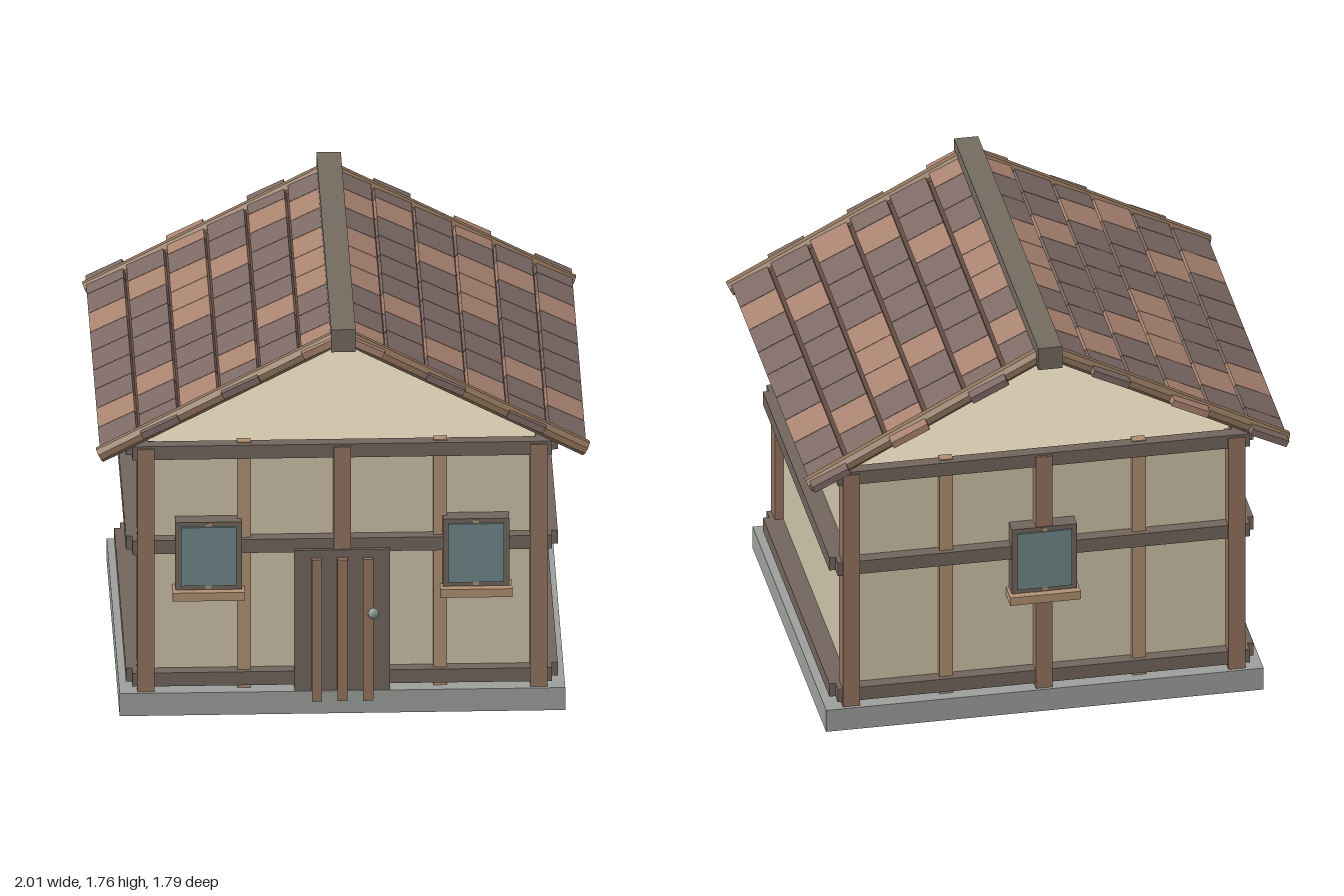
import * as THREE from 'three';

const mat = (color) => new THREE.MeshStandardMaterial({ color, flatShading: true });
const M = {
  stone: mat(0x9c9f9b), plaster: mat(0xcdc2a8), post: mat(0x94745f), stud: mat(0xb09172),
  beam: mat(0x72655d), ridge: mat(0x746a60), rafter: mat(0x8f735b), board: mat(0x60483f),
  tileDark: mat(0x7d6a64), tileLight: mat(0xa98370), glass: mat(0x6f8788),
  metal: new THREE.MeshStandardMaterial({ color: 0x8d9694 }),
};

// Box given by its min/max extents on each axis
function box(parent, name, material, [x0, x1], [y0, y1], [z0, z1]) {
  const mesh = new THREE.Mesh(new THREE.BoxGeometry(x1 - x0, y1 - y0, z1 - z0), material);
  mesh.position.set((x0 + x1) / 2, (y0 + y1) / 2, (z0 + z1) / 2);
  mesh.name = name;
  parent.add(mesh);
  return mesh;
}

// Window with frame, mullion, pane and sill, built facing +z
function windowUnit(x) {
  const g = new THREE.Group();
  g.name = 'window';
  box(g, 'windowFrame', M.beam, [-0.135, 0.135], [0.555, 0.855], [0.69, 0.766]);
  box(g, 'windowMullion', M.stud, [-0.012, 0.012], [0.56, 0.85], [0.69, 0.769]);
  box(g, 'windowPane', M.glass, [-0.113, 0.113], [0.575, 0.835], [0.69, 0.774]);
  box(g, 'windowSill', M.stud, [-0.147, 0.147], [0.515, 0.552], [0.69, 0.792]);
  g.position.x = x;
  return g;
}

// Timber framing shared by the front and back walls, built facing +z
function gableWall(name, postBottom) {
  const g = new THREE.Group();
  g.name = name;
  for (const s of [-1, 1]) {
    box(g, 'cornerPost', M.post, [s * 0.8 - 0.035, s * 0.8 + 0.035], [0.1, 1.18], [0.675, 0.76]);
    box(g, 'stud', M.stud, [s * 0.4 - 0.028, s * 0.4 + 0.028], [0.1, 1.195], [0.69, 0.73]);
  }
  for (const y of [0.15, 0.74, 1.16])
    box(g, 'crossBeam', M.beam, [-0.855, 0.855], [y - 0.03, y + 0.03], [0.7, 0.752]);
  box(g, 'centerPost', M.post, [-0.035, 0.035], [postBottom, 1.18], [0.69, 0.762]);
  return g;
}

// One roof slope: local x runs down the slope from the ridge, local y is its normal
function roofSlope() {
  const pitch = Math.atan(0.525), length = 1.12;
  const g = new THREE.Group();
  g.name = 'roofSlope';
  box(g, 'roofBoard', M.board, [0, length - 0.01], [-0.024, -0.004], [-0.83, 0.84]);

  // Rafters along the gable edges
  for (const z of [0.836, -0.82]) {
    const rafter = new THREE.Mesh(new THREE.CylinderGeometry(0.033, 0.033, length - 0.03, 8), M.rafter);
    rafter.rotation.set(0, Math.PI / 8, Math.PI / 2, 'ZYX');
    rafter.position.set((length + 0.03) / 2, 0, z);
    rafter.name = 'gableRafter';
    g.add(rafter);
  }

  // Staggered tile rows from eave to ridge; each list holds the lighter tiles
  const light = [[2, 7], [1, 6], [0, 2, 3, 4, 8], [2, 7], [1, 6], [1, 3, 4, 5, 8]];
  const step = 0.19;
  light.forEach((row, r) => {
    const centre = 1.024 - r * 0.1855;
    const start = r % 2 ? -0.823 : -0.893;
    for (let i = 0; i < 9; i++) {
      const z = start + i * step;
      const tile = box(g, 'roofTile', row.includes(i) ? M.tileLight : M.tileDark,
        [centre - 0.083, centre + 0.083], [-0.008, 0.021], [z, z + step - 0.003]);
      tile.rotation.z = 0.03;
    }
  });
  g.rotation.z = -pitch;
  g.position.y = 1.713;
  return g;
}

export function createModel() {
  const model = new THREE.Group();
  model.name = 'cottage';

  const house = new THREE.Group();
  house.name = 'house';
  house.position.z = 0.005;
  model.add(house);
  box(house, 'foundation', M.stone, [-0.908, 0.908], [0, 0.1], [-0.775, 0.775]);
  box(house, 'walls', M.plaster, [-0.8, 0.8], [0.1, 1.165], [-0.7, 0.7]);

  // Front and back framing, with windows
  const front = gableWall('frontWall', 0.72);
  front.add(windowUnit(-0.545), windowUnit(0.545));
  const back = gableWall('backWall', 0.1);
  back.add(windowUnit(0));
  back.rotation.y = Math.PI;
  house.add(front, back);

  // Side beams
  for (const s of [-1, 1])
    for (const y of [0.15, 0.74, 1.16])
      box(house, 'sideBeam', M.beam, s > 0 ? [0.79, 0.88] : [-0.88, -0.79], [y - 0.03, y + 0.03], [-0.7, 0.7]);

  // Door with planks and knob
  const door = new THREE.Group();
  door.name = 'door';
  box(door, 'doorPanel', M.beam, [-0.195, 0.195], [0.1, 0.725], [0.69, 0.768]);
  for (const x of [-0.104, 0, 0.104])
    box(door, 'doorPlank', M.post, [x - 0.021, x + 0.021], [0.06, 0.69], [0.75, 0.79]);
  const knob = new THREE.Mesh(new THREE.SphereGeometry(0.023, 20, 14), M.metal);
  knob.scale.z = 0.8;
  knob.position.set(0.126, 0.452, 0.797);
  knob.name = 'doorKnob';
  door.add(knob);
  house.add(door);

  // Roof: two slopes under a ridge beam
  const rightSlope = roofSlope();
  const leftSlope = new THREE.Group();
  leftSlope.name = 'mirroredSlope';
  leftSlope.add(roofSlope());
  leftSlope.scale.x = -1;
  model.add(rightSlope, leftSlope);
  box(model, 'ridgeBeam', M.ridge, [-0.05, 0.05], [1.66, 1.76], [-0.882, 0.892]);

  return model;
}
